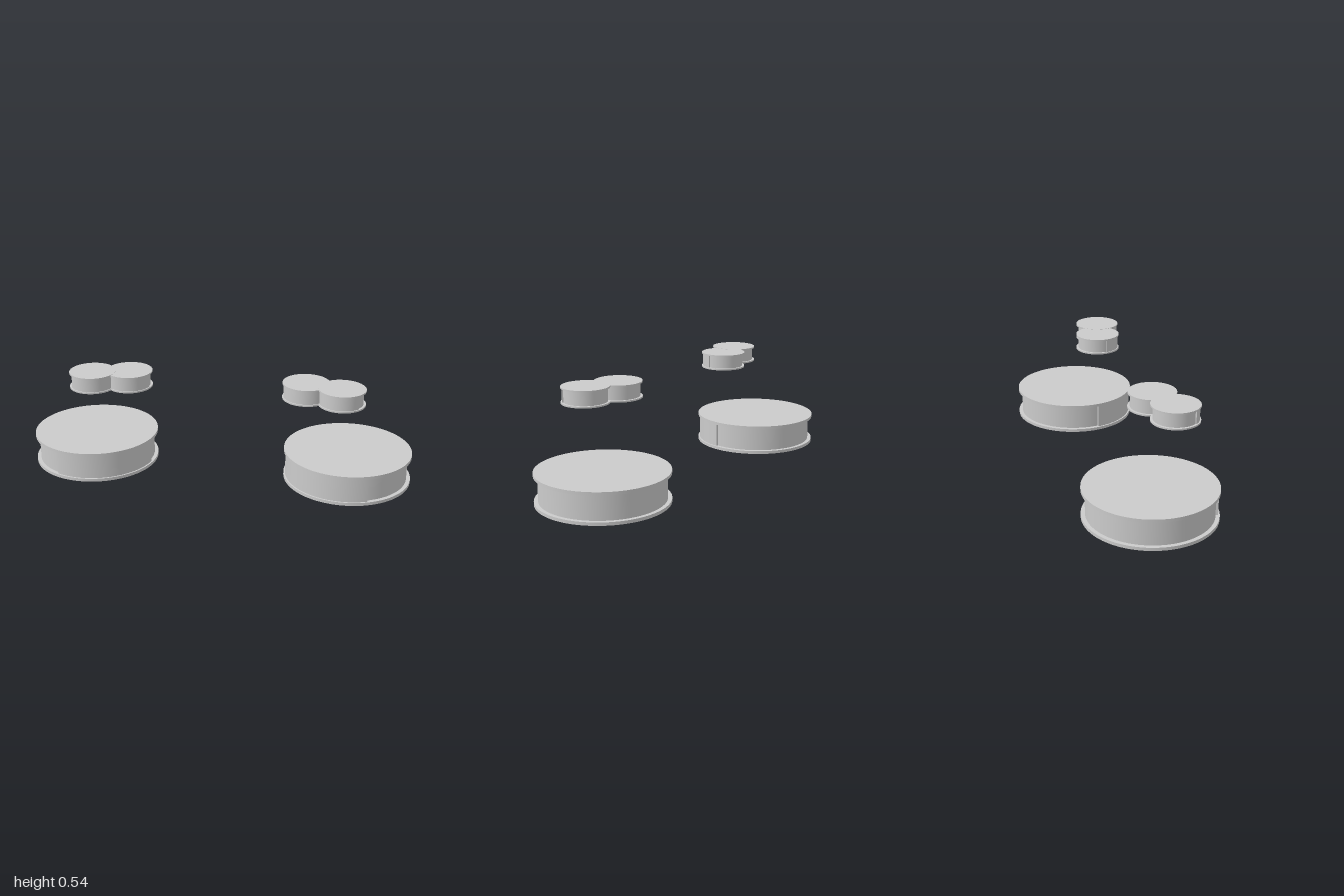
import * as THREE from 'three';

const material = new THREE.MeshStandardMaterial({ color: 0xcccccc, side: THREE.DoubleSide });

function addMesh(parent, name, geometry, x, y, z) {
  const mesh = new THREE.Mesh(geometry, material);
  mesh.name = name;
  mesh.position.set(x, y, z);
  parent.add(mesh);
  return mesh;
}

// A low drum: two rim discs, a recessed wall and a raised curved panel on the wall.
// Panel angles are in degrees, measured from +x towards +z.
function makeDrum(name, { radius, wall, panel, height, rim, from, to }) {
  const drum = new THREE.Group();
  drum.name = name;
  const wallHeight = height - 2 * rim;
  const mid = height / 2;
  const disc = new THREE.CylinderGeometry(radius, radius, rim, 96);
  addMesh(drum, 'bottomRim', disc, 0, rim / 2, 0);
  addMesh(drum, 'topRim', disc, 0, height - rim / 2, 0);
  addMesh(drum, 'wall', new THREE.CylinderGeometry(wall, wall, wallHeight, 96, 1, true), 0, mid, 0);

  // Cylinder angles run from +z towards +x
  const start = THREE.MathUtils.degToRad(90 - to);
  const length = THREE.MathUtils.degToRad(to - from);
  addMesh(drum, 'panel',
    new THREE.CylinderGeometry(panel, panel, wallHeight, 48, 1, true, start, length), 0, mid, 0);

  // Narrow end faces closing the panel against the wall
  const end = new THREE.PlaneGeometry(panel - wall, wallHeight);
  const r = (panel + wall) / 2;
  for (const degrees of [from, to]) {
    const a = THREE.MathUtils.degToRad(degrees);
    addMesh(drum, 'panelEnd', end, r * Math.cos(a), mid, r * Math.sin(a)).rotation.y = -a;
  }
  return drum;
}

export function createModel() {
  const model = new THREE.Group();
  model.name = 'drumSet';
  const large = { radius: 0.327, wall: 0.307, panel: 0.319, height: 0.157, rim: 0.016, from: 10, to: 113 };
  const small = { radius: 0.118, wall: 0.106, panel: 0.112, height: 0.083, rim: 0.008, from: 10, to: 143 };
  const parts = [
    ['largeDrum', large, 0.673, 0, 0],
    ['outerSmallDrum', small, 0.637, 0.455, 0.129],
    ['innerSmallDrum', small, 0.455, 0.454, 0.079],
  ];

  // Mirrored pairs, with the panel angles mirrored as well
  for (const side of [-1, 1]) {
    for (const [name, spec, x, y, z] of parts) {
      const s = side < 0 ? spec : { ...spec, from: 180 - spec.to, to: 180 - spec.from };
      const drum = makeDrum((side < 0 ? 'right ' : 'left ') + name, s);
      drum.position.set(side * x, y, z);
      model.add(drum);
    }
  }
  return model;
}
